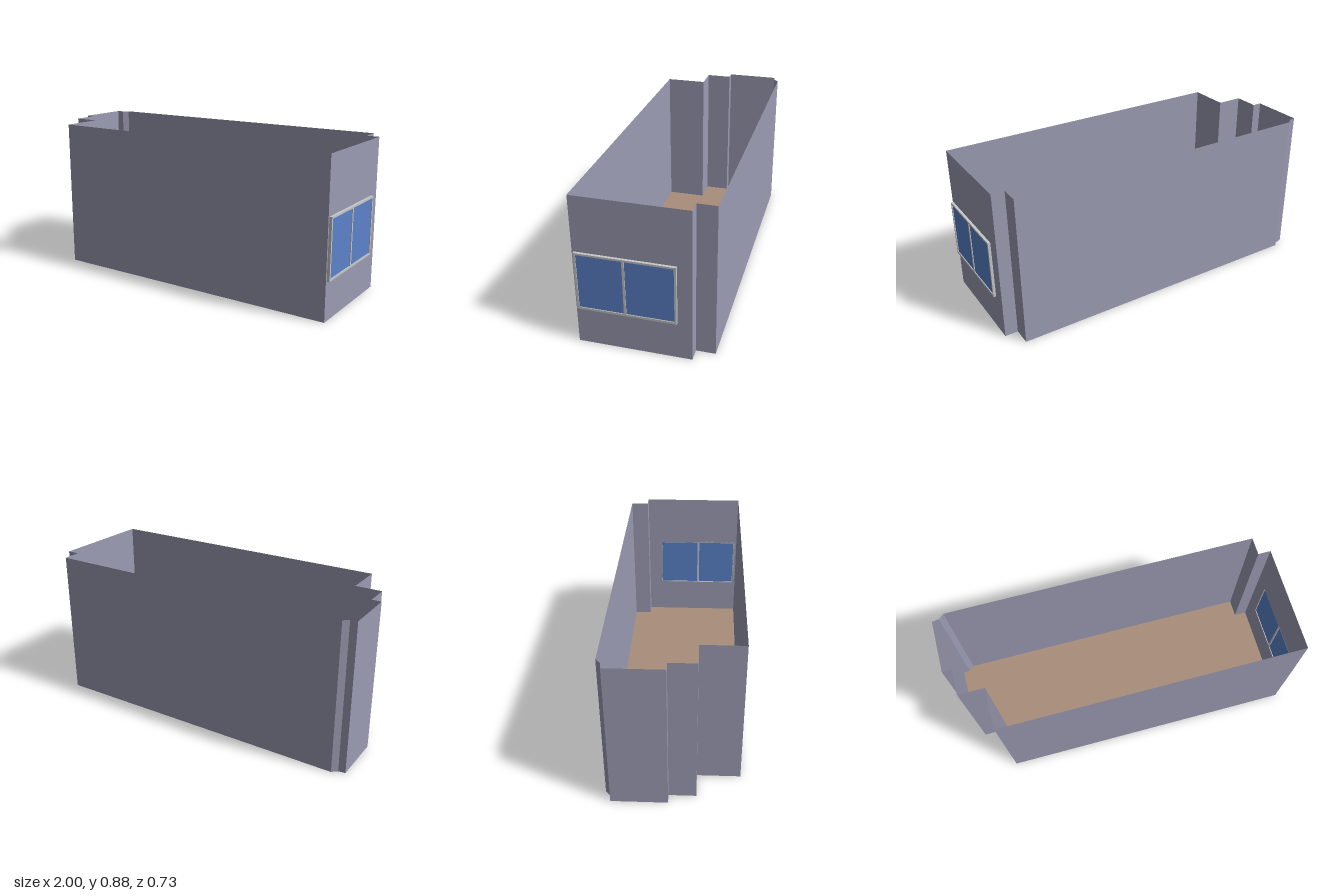
import * as THREE from 'three';

const HEIGHT = 0.885;
const WALL_X = 0.985;

// Room outline as [x, z]; the first segment is the front wall, the second holds the window
const OUTLINE = [
  [-0.79, 0.367], [WALL_X, 0.367], [WALL_X, -0.26], [0.91, -0.26], [0.91, -0.367],
  [-0.93, -0.367], [-0.96, -0.34], [-1, -0.335], [-1, -0.025], [-0.945, -0.025],
  [-0.945, 0.125], [-0.79, 0.125],
];

const rect = (Type, x0, x1, y0, y1) => new Type([
  new THREE.Vector2(x0, y0), new THREE.Vector2(x1, y0),
  new THREE.Vector2(x1, y1), new THREE.Vector2(x0, y1),
]);

export function createModel() {
  const material = (name, color, side = THREE.FrontSide) => {
    const m = new THREE.MeshStandardMaterial({ color, side });
    m.name = name;
    return m;
  };
  const wallPaint = material('wall grey', 0x9c9cb4, THREE.DoubleSide);
  const floorBrown = material('floor brown', 0xa98e7a, THREE.DoubleSide);
  const frameGrey = material('frame grey', 0xc8c8c8);
  const glassBlue = material('glass blue', 0x5b83ca);

  const room = new THREE.Group();
  room.name = 'room';
  const add = (parent, name, geometry, mat) => {
    const mesh = new THREE.Mesh(geometry, mat);
    mesh.name = name;
    parent.add(mesh);
    return mesh;
  };

  // Floor
  const floorShape = new THREE.Shape(OUTLINE.map(([x, z]) => new THREE.Vector2(x, -z)));
  add(room, 'floor', new THREE.ShapeGeometry(floorShape).rotateX(-Math.PI / 2), floorBrown);

  // One thin wall for each outline segment, with an opening for the window
  const walls = new THREE.Group();
  walls.name = 'walls';
  room.add(walls);
  OUTLINE.forEach(([x0, z0], i) => {
    const [x1, z1] = OUTLINE[(i + 1) % OUTLINE.length];
    const shape = rect(THREE.Shape, 0, Math.hypot(x1 - x0, z1 - z0), 0, HEIGHT);
    if (i === 1) shape.holes.push(rect(THREE.Path, 0.02, 0.54, 0.23, 0.557));
    const wall = add(walls, i === 1 ? 'windowWall' : 'wall', new THREE.ShapeGeometry(shape), wallPaint);
    wall.position.set(x0, 0, z0);
    wall.rotation.y = Math.atan2(z0 - z1, x1 - x0);
  });

  // Window: local x runs toward the back of the room, local z points outward
  const win = new THREE.Group();
  win.name = 'window';
  win.position.x = WALL_X;
  win.rotation.y = Math.PI / 2;
  room.add(win);
  const panes = [[-0.345, -0.1], [-0.087, 0.17]];
  const frame = rect(THREE.Shape, -0.357, 0.182, 0.222, 0.565);
  panes.forEach(([a, b]) => {
    frame.holes.push(rect(THREE.Path, a, b, 0.235, 0.554));
    const pane = add(win, 'pane', new THREE.BoxGeometry(b - a, 0.319, 0.006), glassBlue);
    pane.position.set((a + b) / 2, 0.3945, 0.0075);
  });
  add(win, 'windowFrame', new THREE.ExtrudeGeometry(frame, { depth: 0.015, bevelEnabled: false }), frameGrey);

  return room;
}
